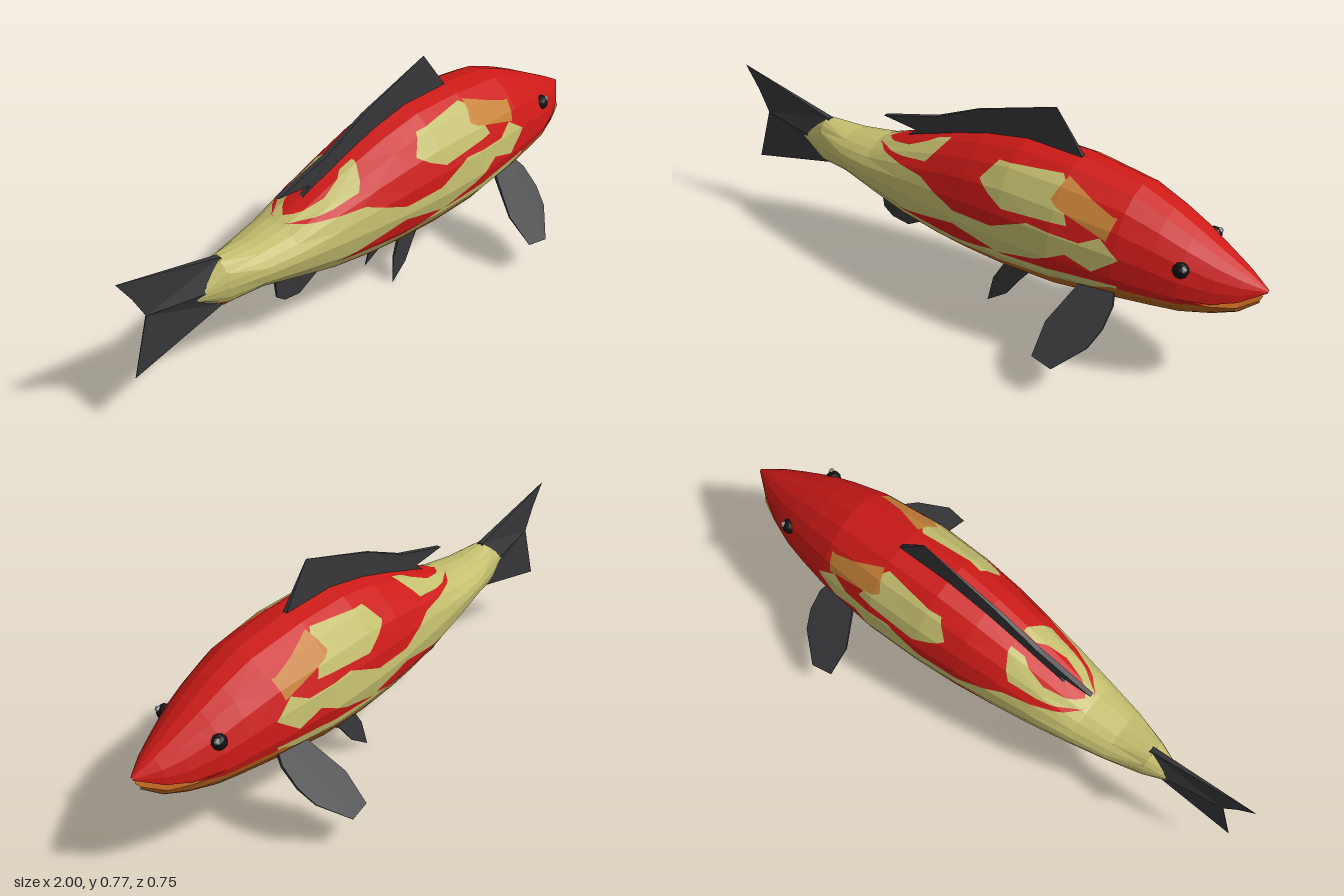
import * as THREE from 'three';

const RED = 0xcc1a17, YELLOW = 0xc4be6e, BELLY = 0xb5621f, ORANGE = 0xc88238, FIN = 0x37373a;
const mat = (color) => new THREE.MeshStandardMaterial({ color, flatShading: true });

// Body stations: x, ridge height, widest height, half width
const UPPER = [
  [-0.74, 0.375, 0.36, 0.02], [-0.64, 0.45, 0.365, 0.058], [-0.52, 0.44, 0.37, 0.095],
  [-0.4, 0.455, 0.37, 0.12], [-0.25, 0.515, 0.37, 0.147], [-0.1, 0.568, 0.37, 0.17],
  [0.02, 0.605, 0.37, 0.187], [0.17, 0.634, 0.37, 0.2], [0.36, 0.63, 0.37, 0.205],
  [0.57, 0.6, 0.365, 0.185], [0.68, 0.555, 0.355, 0.162], [0.765, 0.513, 0.343, 0.14],
  [0.86, 0.462, 0.335, 0.1], [0.93, 0.424, 0.347, 0.062], [1, 0.382, 0.376, 0.006],
];
// Belly stations: x, keel height, widest height, half width
const LOWER = [
  [-0.74, 0.345, 0.36, 0.02], [-0.64, 0.28, 0.365, 0.058], [-0.52, 0.29, 0.37, 0.095],
  [-0.4, 0.255, 0.37, 0.12], [-0.25, 0.212, 0.37, 0.147], [-0.1, 0.19, 0.37, 0.17],
  [0.02, 0.184, 0.37, 0.187], [0.17, 0.18, 0.37, 0.2], [0.36, 0.188, 0.37, 0.205],
  [0.57, 0.22, 0.365, 0.185], [0.68, 0.232, 0.355, 0.162], [0.765, 0.243, 0.343, 0.14],
  [0.86, 0.27, 0.328, 0.102], [0.93, 0.297, 0.33, 0.068], [0.98, 0.333, 0.345, 0.012],
];
const MOUTH = 11; // from this station on the jaws are separate and closed

// Colour patches as side-view strips of [x, low, high], painted in order
const PATCHES = [
  [YELLOW, [[-0.8, 0.1, 0.7], [-0.55, 0.1, 0.6], [-0.41, 0.1, 0.458], [-0.15, 0.1, 0.455],
    [0, 0.1, 0.4], [0.15, 0.1, 0.405], [0.28, 0.1, 0.46], [0.46, 0.1, 0.45],
    [0.52, 0.1, 0.48], [0.59, 0.1, 0.43]]],
  [YELLOW, [[-0.41, 0.455, 0.456], [-0.25, 0.475, 0.5], [-0.15, 0.495, 0.545], [-0.1, 0.56, 0.562]]],
  [YELLOW, [[0.08, 0.53, 0.53], [0.125, 0.5, 0.588], [0.185, 0.472, 0.594], [0.345, 0.485, 0.605],
    [0.36, 0.486, 0.595], [0.41, 0.488, 0.49]]],
  [ORANGE, [[0.34, 0.545, 0.55], [0.365, 0.53, 0.604], [0.54, 0.475, 0.54], [0.555, 0.54, 0.54]]],
  [RED, [[-0.26, 0.29, 0.29], [0, 0.28, 0.35], [0.16, 0.315, 0.315]]],
  [RED, [[0.17, 0.31, 0.31], [0.31, 0.32, 0.345], [0.42, 0.33, 0.4], [0.51, 0.335, 0.37],
    [0.59, 0.34, 0.43]]],
  [BELLY, [[-0.66, 0.1, 0.315], [-0.53, 0.1, 0.3], [-0.39, 0.1, 0.27], [-0.2, 0.1, 0.262],
    [-0.07, 0.1, 0.25], [0.17, 0.1, 0.265], [0.49, 0.1, 0.3], [0.57, 0.1, 0.328],
    [0.78, 0.1, 0.322], [0.86, 0.1, 0.333], [0.93, 0.1, 0.338], [0.99, 0.1, 0.352]]],
  [YELLOW, [[0.73, 0.2, 0.238], [0.8, 0.2, 0.272], [0.87, 0.2, 0.275]]],
];

// Half-tube of triangles: start 0 arches over the back, PI under the belly
function shell(stations, n, start) {
  const rings = stations.map(([x, edge, mid, w]) => Array.from({ length: n + 1 }, (_, j) => {
    const a = start + (Math.PI * j) / n;
    return new THREE.Vector3(x, mid + Math.abs(edge - mid) * Math.sin(a), w * Math.cos(a));
  }));
  const faces = [];
  for (let i = 0; i < rings.length - 1; i++) {
    for (let j = 0; j < (i >= MOUTH ? n + 1 : n); j++) {
      const k = (j + 1) % (n + 1);
      const [a, b, c, d] = [rings[i][j], rings[i + 1][j], rings[i + 1][k], rings[i][k]];
      const tris = (i + j) % 2 ? [[a, b, c], [a, c, d]] : [[a, b, d], [b, c, d]];
      tris.forEach((pts) => faces.push({ pts, color: RED }));
    }
  }
  return faces;
}

// Part of a convex polygon on one side of the line a-b, seen from the side
function clip(pts, a, b, side) {
  const dist = (p) => side * ((b[0] - a[0]) * (p.y - a[1]) - (b[1] - a[1]) * (p.x - a[0]));
  const out = [];
  pts.forEach((p, i) => {
    const q = pts[(i + 1) % pts.length], dp = dist(p), dq = dist(q);
    if (dp >= 0) out.push(p);
    if (dp * dq < 0) out.push(p.clone().lerp(q, dp / (dp - dq)));
  });
  return out;
}

// Recolour the area of the faces inside a convex side-view polygon
function paint(faces, poly, color) {
  return faces.flatMap((face) => {
    const pieces = [];
    let rest = face.pts;
    for (let i = 0; i < poly.length && rest.length > 2; i++) {
      const a = poly[i], b = poly[(i + 1) % poly.length];
      if (Math.hypot(b[0] - a[0], b[1] - a[1]) < 1e-6) continue;
      const outside = clip(rest, a, b, -1);
      if (outside.length > 2) pieces.push({ pts: outside, color: face.color });
      rest = clip(rest, a, b, 1);
    }
    return rest.length > 2 ? [...pieces, { pts: rest, color }] : [face];
  });
}

function makeBody() {
  let faces = [...shell(UPPER, 10, 0), ...shell(LOWER, 8, Math.PI)];
  for (const [color, strip] of PATCHES) {
    for (let i = 0; i < strip.length - 1; i++) {
      const [x0, l0, h0] = strip[i], [x1, l1, h1] = strip[i + 1];
      faces = paint(faces, [[x0, l0], [x1, l1], [x1, h1], [x0, h0]], color);
    }
  }
  // One mesh for each colour
  const body = new THREE.Group();
  body.name = 'body';
  const names = { [RED]: 'redSkin', [YELLOW]: 'yellowSkin', [BELLY]: 'bellySkin', [ORANGE]: 'orangeSkin' };
  for (const color of [RED, YELLOW, BELLY, ORANGE]) {
    const points = [];
    for (const { pts } of faces.filter((f) => f.color === color)) {
      for (let i = 1; i < pts.length - 1; i++) points.push(pts[0], pts[i], pts[i + 1]);
    }
    const geo = new THREE.BufferGeometry().setFromPoints(points);
    geo.computeVertexNormals();
    const mesh = new THREE.Mesh(geo, mat(color));
    mesh.name = names[color];
    body.add(mesh);
  }
  return body;
}

// Flat fin from an outline, with its thickness given by a rule
function fin(name, outline, thickness) {
  const shape = new THREE.Shape(outline.map(([x, y]) => new THREE.Vector2(x, y)));
  const geo = new THREE.ExtrudeGeometry(shape, { depth: 1, bevelEnabled: false });
  const p = geo.attributes.position;
  for (let i = 0; i < p.count; i++) {
    p.setZ(i, (p.getZ(i) - 0.5) * Math.max(0.001, thickness(p.getX(i), p.getY(i))));
  }
  geo.computeVertexNormals();
  const material = mat(FIN);
  material.side = THREE.DoubleSide;
  const mesh = new THREE.Mesh(geo, material);
  mesh.name = name;
  return mesh;
}

export function createModel() {
  const model = new THREE.Group();
  model.name = 'fish';
  model.add(makeBody());

  // Middle fins
  model.add(fin('tailFin',
    [[-1, 0.55], [-0.63, 0.452], [-0.62, 0.42], [-0.66, 0.365], [-0.62, 0.31], [-0.63, 0.278],
      [-0.97, 0.19], [-0.91, 0.39], [-0.95, 0.47]],
    (x, y) => 0.25 * (x + 0.93) * Math.max(0.25, 1.1 - Math.abs(y - 0.365) / 0.1)));
  model.add(fin('dorsalFin',
    [[-0.39, 0.54], [-0.18, 0.6], [-0.02, 0.675], [0.265, 0.77], [0.37, 0.62], [0.3, 0.58],
      [0, 0.57], [-0.15, 0.535], [-0.3, 0.49], [-0.26, 0.525]],
    (x, y) => 0.016 - 0.1 * Math.max(0, y - 0.62)));
  model.add(fin('analFin',
    [[-0.4, 0.29], [-0.415, 0.235], [-0.41, 0.17], [-0.375, 0.14], [-0.31, 0.13], [-0.19, 0.2], [-0.2, 0.25]],
    (x, y) => 0.1 * (y - 0.12)));

  for (const s of [1, -1]) {
    const side = s < 0 ? 'left' : 'right';
    // Paired fins slope outwards and thin towards the tip
    const pectoral = fin(side + 'PectoralFin',
      [[0.48, 0.04], [0.56, 0.04], [0.59, -0.04], [0.59, -0.12], [0.57, -0.19], [0.49, -0.29],
        [0.415, -0.275], [0.41, -0.16]],
      (x, y) => 0.05 * (y + 0.28));
    pectoral.position.set(0, 0.3, s * 0.155);
    pectoral.rotation.x = -s * 0.872;
    const pelvic = fin(side + 'PelvicFin',
      [[0.2, 0.04], [0.24, 0], [0.17, -0.09], [0.13, -0.15], [0.06, -0.2], [0.075, -0.11], [0.11, -0.045]],
      (x, y) => 0.07 * (y + 0.2));
    pelvic.position.set(0, 0.2, s * 0.036);
    pelvic.rotation.x = -s * 0.15;

    // Eye with a pale glint
    const eye = new THREE.Mesh(new THREE.IcosahedronGeometry(0.026, 1), mat(0x111113));
    eye.name = side + 'Eye';
    eye.position.set(0.765, 0.43, s * 0.112);
    const glint = new THREE.Mesh(new THREE.IcosahedronGeometry(0.011, 0), mat(0xcccccc));
    glint.name = side + 'EyeGlint';
    glint.position.set(0.78, 0.443, s * 0.123);
    model.add(pectoral, pelvic, eye, glint);
  }
  return model;
}
